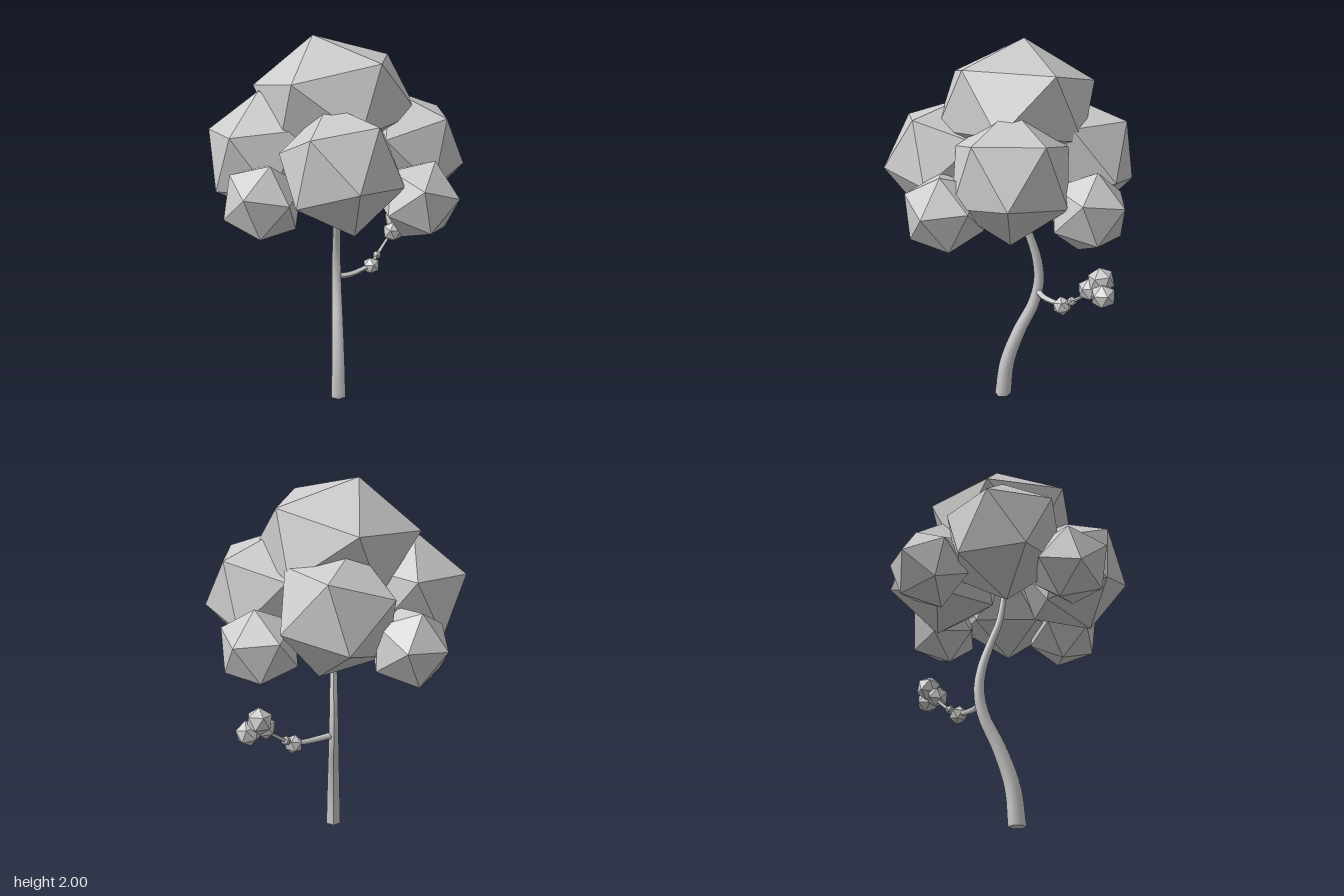
import * as THREE from 'three';

const V = (a) => new THREE.Vector3(...a);
const leafMat = new THREE.MeshStandardMaterial({ color: 0xcccccc, flatShading: true });
const barkMat = new THREE.MeshStandardMaterial({ color: 0xcccccc, side: THREE.DoubleSide });

// Rotation whose y axis is the pole and whose x axis leans toward the neighbour
function basis(pole, neighbour) {
  const y = pole.clone().normalize();
  const x = neighbour.clone().addScaledVector(y, -neighbour.dot(y)).normalize();
  return new THREE.Matrix4().makeBasis(x, y, x.clone().cross(y));
}

// Icosahedron with one corner aimed along pole, and the next corner toward neighbour
function clump(name, center, r, pole, neighbour, squash = 1) {
  const t = (1 + Math.sqrt(5)) / 2;
  const geo = new THREE.IcosahedronGeometry(r, 0);
  const from = basis(V([-1, t, 0]), V([1, t, 0])).invert();
  geo.applyMatrix4(basis(V(pole), V(neighbour)).multiply(from));
  geo.scale(1, squash, 1);
  const mesh = new THREE.Mesh(geo, leafMat);
  mesh.name = name;
  mesh.position.set(...center);
  return mesh;
}

// Six-sided tube along points, narrowing from radius r0 to r1, cut flat at the ground
function taperedTube(name, points, r0, r1, segs) {
  const sides = 6;
  const curve = new THREE.CatmullRomCurve3(points.map(V));
  const geo = new THREE.TubeGeometry(curve, segs, 1, sides);
  const pos = geo.attributes.position;
  const p = new THREE.Vector3();
  for (let i = 0; i < pos.count; i++) {
    const u = Math.floor(i / (sides + 1)) / segs;
    const c = curve.getPointAt(u);
    p.fromBufferAttribute(pos, i).sub(c);
    // a quarter turn puts the corners fore and aft
    p.applyAxisAngle(curve.getTangentAt(u), Math.PI / 2);
    p.multiplyScalar(r0 + (r1 - r0) * u).add(c);
    pos.setXYZ(i, p.x, Math.max(p.y, 0), p.z);
  }
  geo.computeVertexNormals();
  const mesh = new THREE.Mesh(geo, barkMat);
  mesh.name = name;
  return mesh;
}

export function createModel() {
  const tree = new THREE.Group();
  tree.name = 'tree';

  // S-curved trunk and its base cap
  tree.add(taperedTube('trunk', [
    [0.003, -0.01, 0.035], [0.003, 0.2, 0.012], [0.003, 0.4, -0.055], [0.003, 0.58, -0.137],
    [0.003, 0.72, -0.163], [0.003, 0.85, -0.148], [0.003, 1.0, -0.1], [0.003, 1.12, -0.058],
    [0.003, 1.4, -0.02],
  ], 0.046, 0.012, 32));
  const cap = new THREE.Mesh(new THREE.CircleGeometry(0.046, 6, Math.PI / 2), barkMat);
  cap.name = 'trunkBase';
  cap.rotation.x = Math.PI / 2;
  cap.position.set(0.003, 0.001, 0.035);
  tree.add(cap);

  // Side branch
  tree.add(taperedTube('branch', [
    [0, 0.65, -0.155], [0.08, 0.645, -0.19], [0.15, 0.652, -0.24], [0.21, 0.668, -0.285],
    [0.25, 0.705, -0.335], [0.3, 0.76, -0.39], [0.37, 0.84, -0.45],
  ], 0.018, 0.006, 20));

  // Crown: top, four large side clumps, four small corner clumps
  const crown = new THREE.Group();
  crown.name = 'crown';
  crown.add(
    clump('topClump', [-0.01, 1.68, -0.037], 0.436, [-0.11, 0.414, -0.035], [-0.1, 0.13, -0.405], 0.765),
    clump('frontClump', [0, 1.4, 0.335], 0.318, [0.065, -0.035, 0.305], [0.18, 0.25, 0.14], 1.03),
    clump('backClump', [-0.01, 1.4, -0.345], 0.331, [-0.056, -0.12, -0.305], [0.04, 0.2, -0.265]),
    clump('leftClump', [0.35, 1.408, -0.02], 0.325, [0.315, -0.07, 0.005], [0.22, 0.2, -0.17], 1.02),
    clump('rightClump', [-0.37, 1.4, -0.02], 0.33, [-0.03, 0.32, -0.01], [-0.3, 0.14, -0.08]),
    clump('frontLeftClump', [0.385, 1.237, 0.302], 0.213, [0.075, 0.195, 0.01], [0.19, 0.02, 0.095]),
    clump('frontRightClump', [-0.385, 1.24, 0.315], 0.21, [0.04, 0.197, 0.06], [-0.1, 0.02, 0.175]),
    clump('backLeftClump', [0.365, 1.24, -0.395], 0.209, [0.015, 0.2, -0.04], [0.11, 0.04, -0.165]),
    clump('backRightClump', [-0.36, 1.24, -0.407], 0.21, [-0.05, 0.19, -0.065], [0.025, 0.04, -0.2]),
  );
  tree.add(crown);

  // Small leaf clumps along the branch and at its tip
  const sprig = new THREE.Group();
  sprig.name = 'branchLeaves';
  [
    [[0.213, 0.66, -0.285], 0.052],
    [[0.25, 0.705, -0.335], 0.027],
    [[0.372, 0.88, -0.472], 0.071],
    [[0.35, 0.82, -0.417], 0.062],
    [[0.428, 0.82, -0.48], 0.066],
  ].forEach(([c, r], i) => {
    sprig.add(clump('leafClump' + (i + 1), c, r, [0.1 * (i - 2), 1, 0.15], [1, 0, 0.3 * i]));
  });
  tree.add(sprig);
  return tree;
}
